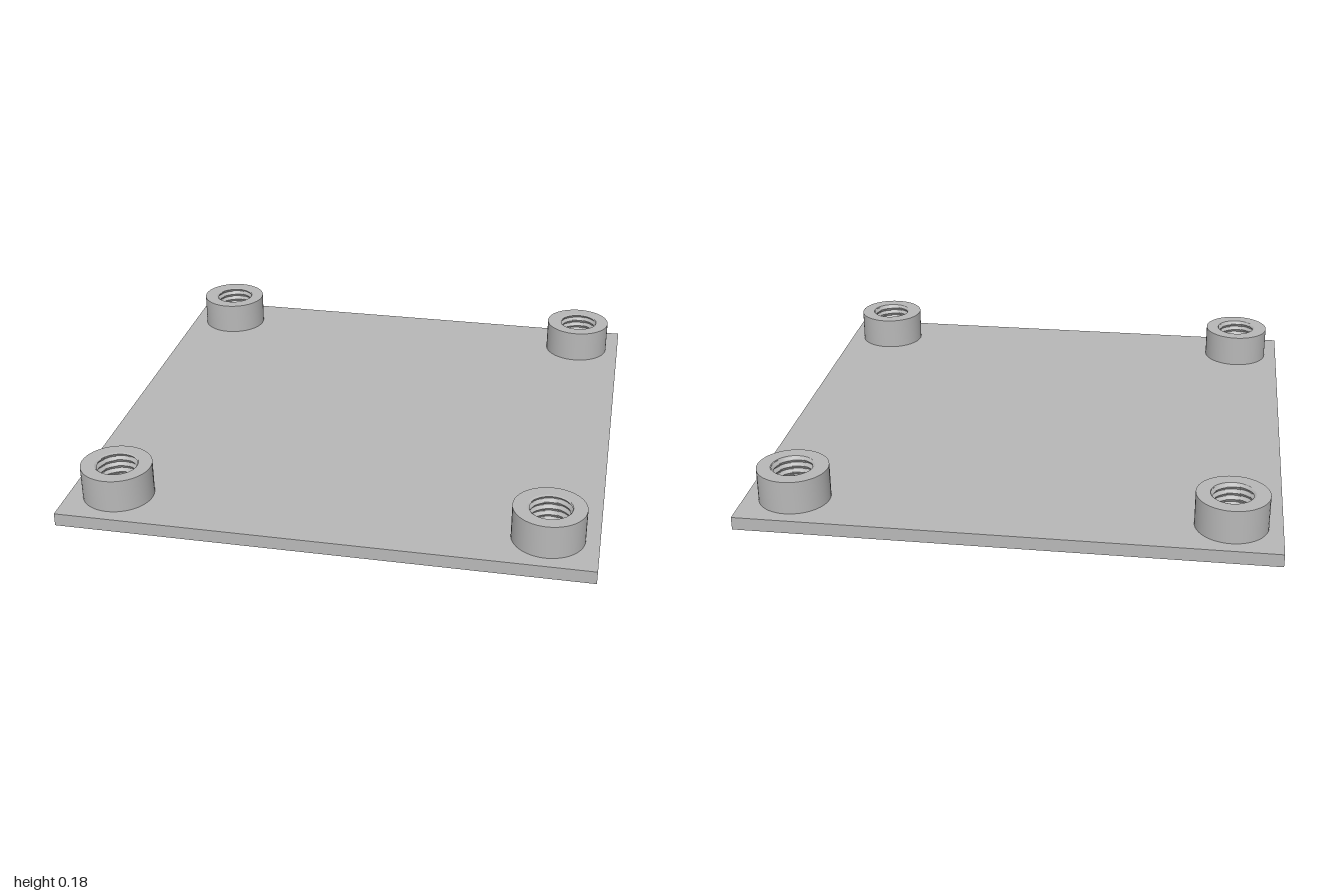
import * as THREE from 'three';
import { toCreasedNormals } from 'three/addons/utils/BufferGeometryUtils.js';

const PLATE = 0.05, TOP = 0.18, HEIGHT = TOP - PLATE;
const OUTER = 0.135, GROOVE = 0.083, CREST = 0.073, PITCH = 0.026;
const CENTRE = 0.813;

// Inner wall of a post: a helical V thread, opening out at the rim
function threadGeometry() {
  const geo = new THREE.CylinderGeometry(1, 1, HEIGHT, 48, 50, true);
  const pos = geo.attributes.position;
  for (let i = 0; i < pos.count; i++) {
    const y = pos.getY(i) + HEIGHT / 2;
    const angle = geo.attributes.uv.getX(i) * Math.PI * 2;
    const turn = y / PITCH + angle / (Math.PI * 2);
    const wave = Math.abs(2 * (turn - Math.floor(turn)) - 1);
    const r = y > HEIGHT - 0.001 ? GROOVE : CREST + (GROOVE - CREST) * wave;
    pos.setXYZ(i, Math.sin(angle) * r, y + PLATE, Math.cos(angle) * r);
  }
  geo.index.array.reverse(); // faces look in towards the axis
  return toCreasedNormals(geo, 0.6);
}

// Outer wall and flat rim of a post
function shellGeometry() {
  const profile = [[OUTER, PLATE], [OUTER, TOP], [GROOVE, TOP]];
  const points = profile.map(([r, y]) => new THREE.Vector2(r, y));
  return toCreasedNormals(new THREE.LatheGeometry(points, 48), 0.6);
}

export function createModel() {
  const model = new THREE.Group();
  model.name = 'plateWithThreadedPosts';
  const grey = new THREE.MeshStandardMaterial({ color: 0xb8b8b8 });
  grey.name = 'grey';

  const add = (parent, name, geometry) => {
    const mesh = new THREE.Mesh(geometry, grey);
    mesh.name = name;
    parent.add(mesh);
    return mesh;
  };

  // Base plate
  add(model, 'basePlate', new THREE.BoxGeometry(2, PLATE, 2)).position.y = PLATE / 2;

  // One threaded post near each corner
  const shell = shellGeometry();
  const thread = threadGeometry();
  for (const x of [-1, 1]) {
    for (const z of [-1, 1]) {
      const post = new THREE.Group();
      post.name = (z > 0 ? 'front' : 'back') + (x > 0 ? 'Left' : 'Right') + 'Post';
      add(post, 'postShell', shell);
      add(post, 'postThread', thread);
      post.position.set(x * CENTRE, 0, z * CENTRE);
      model.add(post);
    }
  }
  return model;
}
